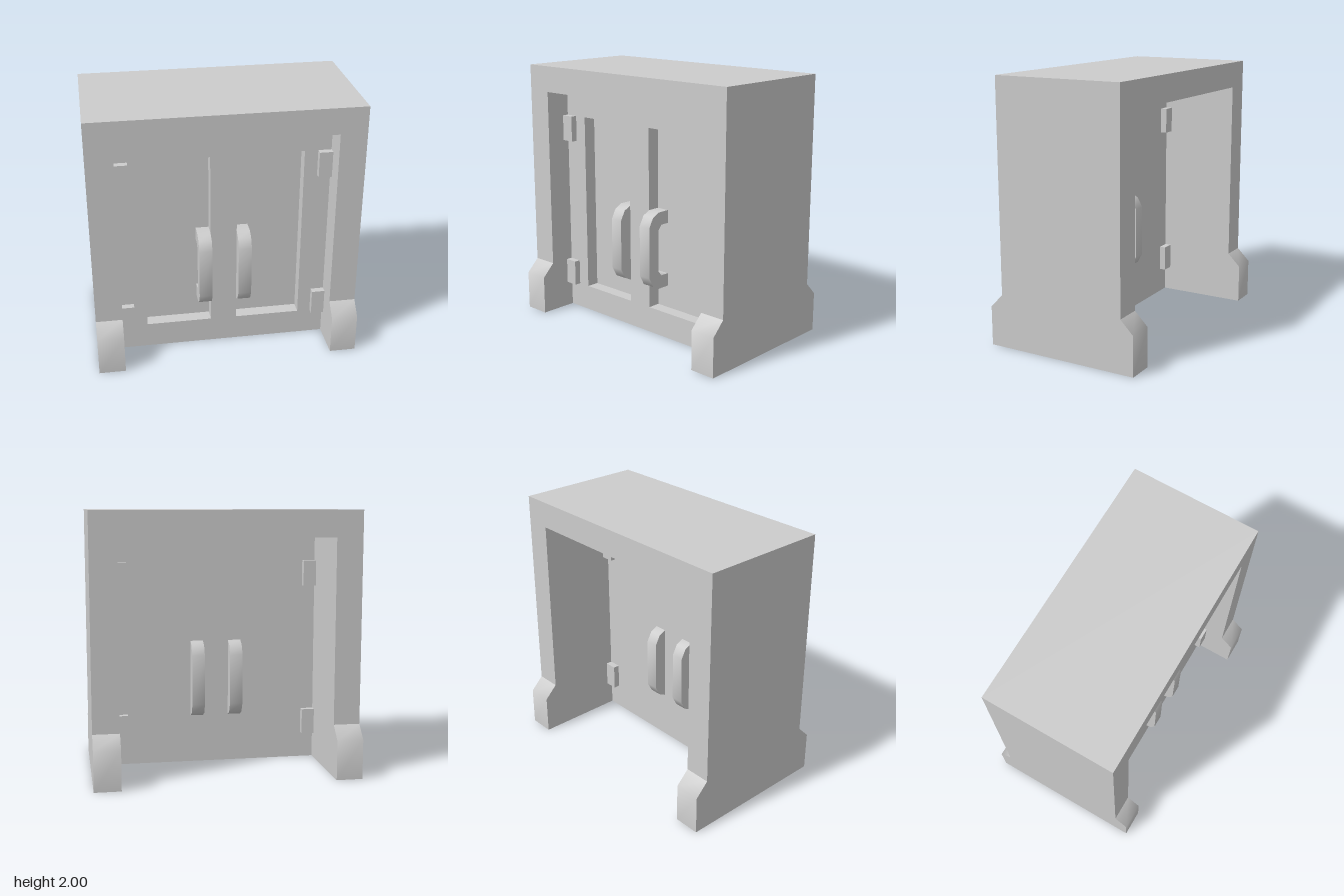
import * as THREE from 'three';
import { toCreasedNormals } from 'three/addons/utils/BufferGeometryUtils.js';

const grey = new THREE.MeshStandardMaterial({ color: 0xcccccc });
grey.name = 'light grey';

const polygon = (points) => new THREE.Shape(points.map(([x, y]) => new THREE.Vector2(x, y)));
const rectangle = (x0, y0, x1, y1) => [[x0, y0], [x1, y0], [x1, y1], [x0, y1]];

export function createModel() {
  const cabinet = new THREE.Group();
  cabinet.name = 'cabinet';

  const add = (name, geometry) => {
    const mesh = new THREE.Mesh(geometry, grey);
    mesh.name = name;
    cabinet.add(mesh);
  };
  // Extrude an (x, y) outline from z0 to z1
  const alongZ = (shape, z0, z1) =>
    new THREE.ExtrudeGeometry(shape, { depth: z1 - z0, bevelEnabled: false }).translate(0, 0, z0);
  // Extrude a (z, y) outline from x0 to x1, smoothing shallow corners
  const alongX = (points, x0, x1) => {
    const geometry = new THREE.ExtrudeGeometry(polygon(points), { depth: x1 - x0, bevelEnabled: false });
    return toCreasedNormals(geometry.rotateY(-Math.PI / 2).translate(x1, 0, 0), 0.9);
  };
  const box = (w, h, d, x, y, z) => new THREE.BoxGeometry(w, h, d).translate(x, y, z);

  // Outer shell: two sides and a top, open at front and back
  add('shell', alongZ(polygon([
    [-1, 0], [-0.8, 0], [-0.8, 1.8], [0.8, 1.8], [0.8, 0], [1, 0], [1, 2], [-1, 2],
  ]), -0.5, 0.5));

  // Door panel: solid back with a framed front of two recesses
  add('doorBack', box(1.6, 1.8, 0.1, 0, 0.9, 0.15));
  const frame = polygon(rectangle(-0.8, 0, 0.8, 1.8));
  for (const x of [-0.6, 0.1]) frame.holes.push(polygon(rectangle(x, 0.2, x + 0.5, 1.6)));
  add('doorFrame', alongZ(frame, 0.2, 0.3));

  // Feet: sloped blocks at the four corners
  const foot = [[0.5, 0], [0.6, 0], [0.6, 0.3], [0.5, 0.4]];
  const backFoot = foot.map(([z, y]) => [-z, y]).reverse();
  for (const x of [-1, 0.8]) {
    add('frontFoot', alongX(foot, x, x + 0.2));
    add('backFoot', alongX(backFoot, x, x + 0.2));
  }

  // Handles: C-shaped pulls on both faces, mirrored about the door's middle plane
  const upper = [[0.2, 0.975], [0.3, 0.975], [0.36, 0.945], [0.4, 0.87]];
  const inner = [[0.3, 0.84], [0.27, 0.875], [0.2, 0.875]];
  const flip = (points) => points.map(([z, y]) => [z, 1.35 - y]).reverse();
  const pull = [...upper, ...flip(upper), ...flip(inner), ...inner];
  const backPull = pull.map(([z, y]) => [0.4 - z, y]).reverse();
  for (const x of [-0.2, 0.1]) {
    add('frontHandle', alongX(pull, x, x + 0.1));
    add('backHandle', alongX(backPull, x, x + 0.1));
  }

  // Hinges: small blocks at the door edges, front and back
  for (const side of [-1, 1]) {
    for (const y of [0.3, 1.5]) {
      add('frontHinge', box(0.1, 0.2, 0.05, side * 0.75, y, 0.325));
      add('backHinge', box(0.1, 0.2, 0.05, side * 0.75, y, 0.075));
    }
  }
  return cabinet;
}
